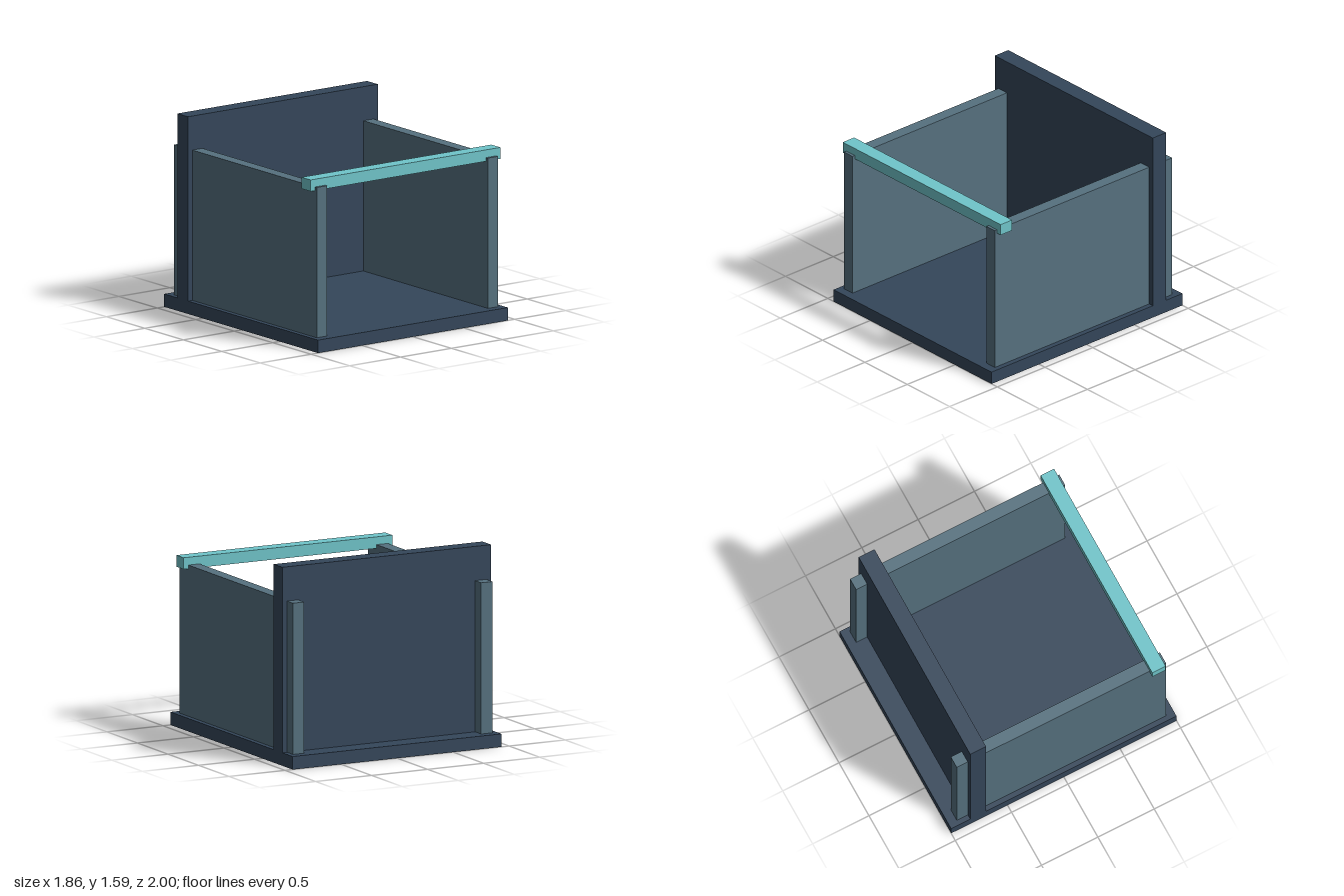
import * as THREE from 'three';

export function createModel() {
  const group = new THREE.Group();
  const material = (name, color) => {
    const m = new THREE.MeshStandardMaterial({ color });
    m.name = name;
    return m;
  };
  const navy = material('dark slate blue', 0x34465a);
  const slate = material('blue grey', 0x56717f);
  const teal = material('light teal', 0x70c5ca);

  // Box given by its extents along each axis
  const addBox = (name, mat, [x0, x1], [y0, y1], [z0, z1]) => {
    const mesh = new THREE.Mesh(new THREE.BoxGeometry(x1 - x0, y1 - y0, z1 - z0), mat);
    mesh.position.set((x0 + x1) / 2, (y0 + y1) / 2, (z0 + z1) / 2);
    mesh.name = name;
    group.add(mesh);
  };

  const width = [-0.932, 0.932];
  addBox('base', navy, width, [0, 0.104], [-1, 1]);
  addBox('backPanel', navy, width, [0.104, 1.587], [-0.83, -0.69]);

  // Side walls pass through the back panel and stand out behind it
  addBox('leftWall', slate, [0.79, 0.89], [0.104, 1.313], [-0.928, 0.928]);
  addBox('rightWall', slate, [-0.89, -0.79], [0.104, 1.313], [-0.928, 0.928]);

  // Rail across the front, notched over the walls
  addBox('frontRail', teal, width, [1.283, 1.375], [0.785, 0.904]);

  return group;
}
